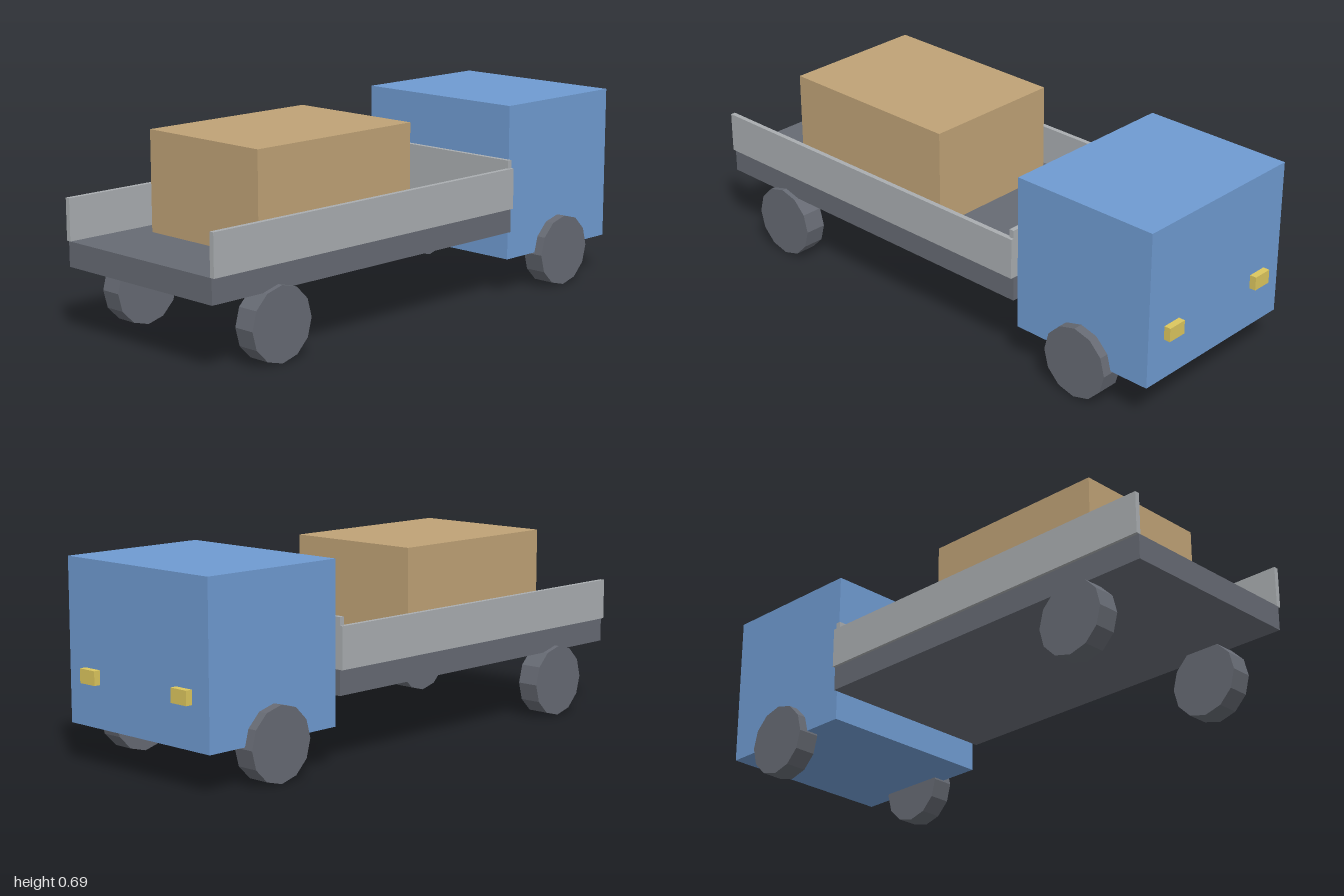
import * as THREE from 'three';

export function createModel() {
  const truck = new THREE.Group();
  truck.name = 'flatbedTruck';

  const paint = (color) => new THREE.MeshStandardMaterial({ color, flatShading: true });
  const blue = paint(0x6f9bd1);
  const dark = paint(0x666a73);
  const light = paint(0xa9adb0);
  const tan = paint(0xbfa276);
  const yellow = paint(0xdcc65e);

  // Box given by its extents on each axis
  function box(name, material, [x0, x1], [y0, y1], [z0, z1]) {
    const mesh = new THREE.Mesh(new THREE.BoxGeometry(x1 - x0, y1 - y0, z1 - z0), material);
    mesh.position.set((x0 + x1) / 2, (y0 + y1) / 2, (z0 + z1) / 2);
    mesh.name = name;
    truck.add(mesh);
  }

  // Cab, load bed and cargo
  box('cab', blue, [0.419, 0.976], [0.136, 0.693], [-0.339, 0.339]);
  box('bed', dark, [-1, 0.415], [0.24, 0.327], [-0.355, 0.355]);
  box('headboard', light, [0.397, 0.415], [0.327, 0.502], [-0.355, 0.355]);
  box('cargoBox', tan, [-0.72, -0.014], [0.327, 0.679], [-0.264, 0.264]);

  // Mirrored pairs: side boards, headlights and wheels
  const wheelGeometry = new THREE.CylinderGeometry(0.129, 0.129, 0.08, 12).rotateX(Math.PI / 2);
  for (const [prefix, s] of [['right', 1], ['left', -1]]) {
    const span = (a, b) => (s > 0 ? [a, b] : [-b, -a]);
    box(prefix + 'SideBoard', light, [-1, 0.415], [0.327, 0.473], span(0.348, 0.366));
    box(prefix + 'Headlight', yellow, [0.972, 1], [0.283, 0.332], span(0.187, 0.26));

    for (const [axle, x] of [['Rear', -0.721], ['Front', 0.7]]) {
      const wheel = new THREE.Mesh(wheelGeometry, dark);
      wheel.position.set(x, 0.129, s * 0.333);
      wheel.name = prefix + axle + 'Wheel';
      truck.add(wheel);
    }
  }

  return truck;
}
